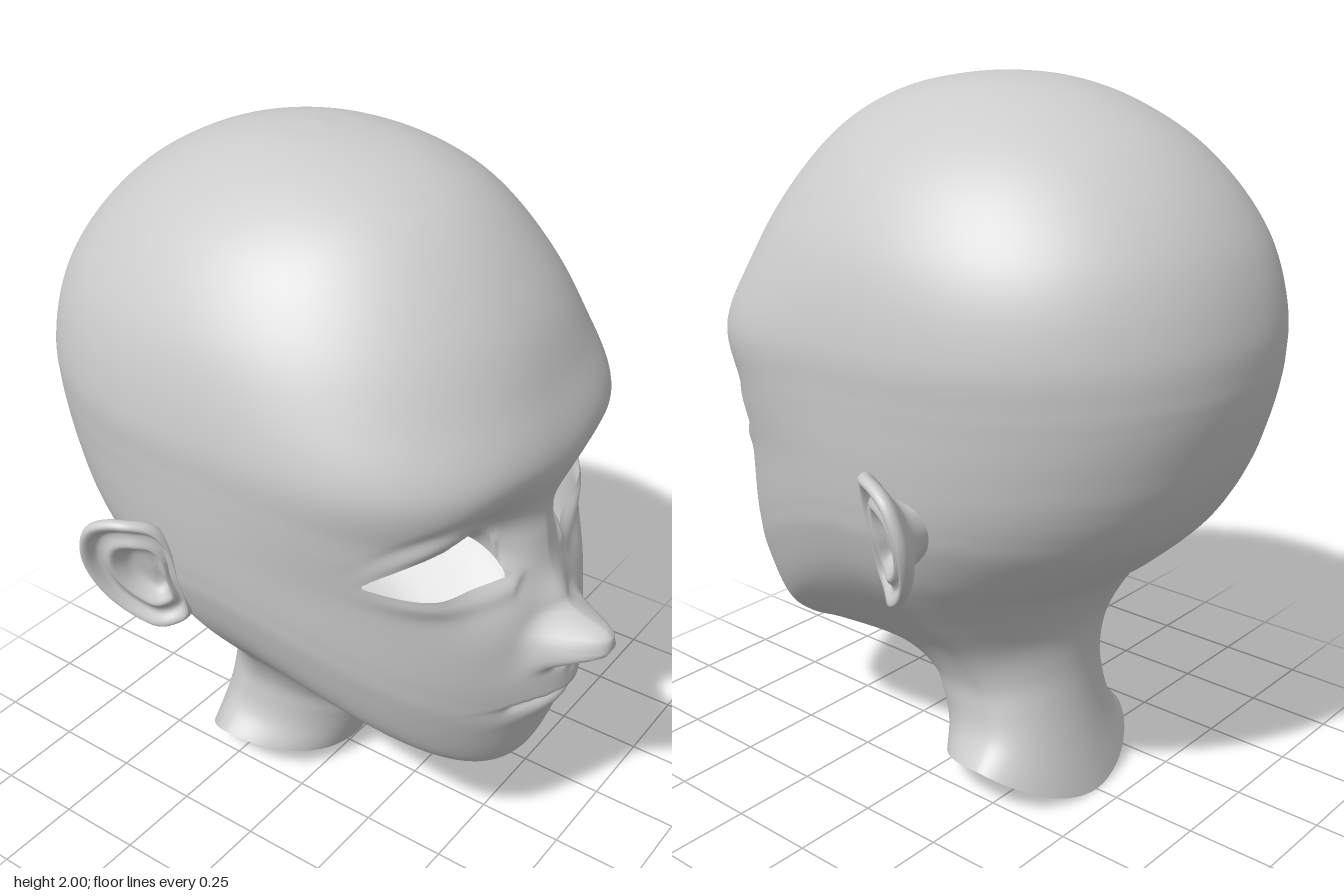
import * as THREE from 'three';

const material = new THREE.MeshStandardMaterial({ color: 0xcccccc, side: THREE.DoubleSide });
const { smoothstep, clamp } = THREE.MathUtils;
const bell = (d, s, power = 2) => Math.exp(-(Math.abs(d / s) ** power));

// Head rings from neck rim to crown: front z, y; side x, y at the widest point; back z, y
const rings = [
  [0.03, 0.05, 0.31, 0.125, -0.43, 0],
  [0.06, 0.12, 0.255, 0.19, -0.39, 0.175],
  [0.095, 0.2, 0.235, 0.26, -0.37, 0.3],
  [0.14, 0.27, 0.237, 0.34, -0.366, 0.4],
  [0.25, 0.315, 0.285, 0.44, -0.38, 0.5],
  [0.456, 0.3, 0.39, 0.56, -0.42, 0.59],
  [0.56, 0.287, 0.492, 0.68, -0.48, 0.675],
  [0.626, 0.32, 0.548, 0.77, -0.56, 0.74],
  [0.683, 0.467, 0.59, 0.88, -0.675, 0.85],
  [0.697, 0.56, 0.605, 0.95, -0.74, 0.945],
  [0.7, 0.65, 0.614, 1.01, -0.785, 1.04],
  [0.69, 0.76, 0.621, 1.07, -0.812, 1.12],
  [0.665, 0.9, 0.627, 1.13, -0.832, 1.19],
  [0.645, 1.03, 0.632, 1.2, -0.845, 1.25],
  [0.64, 1.13, 0.637, 1.27, -0.852, 1.31],
  [0.682, 1.3, 0.641, 1.38, -0.85, 1.41],
  [0.626, 1.475, 0.618, 1.52, -0.82, 1.535],
  [0.56, 1.63, 0.574, 1.64, -0.77, 1.645],
  [0.456, 1.775, 0.497, 1.76, -0.683, 1.76],
  [0.34, 1.882, 0.402, 1.855, -0.565, 1.862],
  [0.2, 1.952, 0.272, 1.938, -0.405, 1.945],
  [0.04, 1.988, 0.14, 1.985, -0.25, 1.987],
  [-0.1, 2, 0, 2, -0.1, 2],
];
const spline = (f) => new THREE.CatmullRomCurve3(rings.map((r) => new THREE.Vector3(...f(r))), false, 'catmullrom');
const frontLine = spline((r) => [0, r[1], r[0]]);
const sideLine = spline((r) => [r[2], r[3], -0.05 - 0.19 * (1 - smoothstep(r[3], 0.1, 0.75)) - 0.05 * smoothstep(r[3], 0.9, 1.6)]);
const backLine = spline((r) => [0, r[5], r[4]]);

// Signed measure of the almond eye opening: negative inside
function eye(x, y) {
  const ax = Math.abs(x), t = clamp((ax - 0.14) / 0.375, 0, 1);
  const chord = 0.965 + 0.095 * t;
  const upper = chord + 0.302 * Math.sqrt(t) * (1 - t) ** 0.7;
  const lower = chord - 0.15 * t * (1 - t);
  return Math.max(y - upper, lower - y) + Math.abs(ax - (0.14 + 0.375 * t));
}

// Relief of the face, pushed along z
function relief(x, y) {
  const ax = Math.abs(x), e = Math.max(eye(x, y), 0);
  const lid = 1 - smoothstep(ax, 0.42, 0.56);
  let d = 0;
  // eye sockets and lids
  d -= 0.11 * bell(ax - 0.225, 0.13) * bell(y - 1.055, 0.14);
  d += 0.012 * lid * bell(e - 0.025, 0.025);
  d -= 0.007 * lid * bell(e - 0.07, 0.02) * smoothstep(y, 1.0, 1.08);
  // nose: ridge, bulb, wings, nostrils
  d += 0.035 * bell(x, 0.06) * bell(y - 0.855, 0.06);
  d += 0.16 * bell(x, 0.1, 2.7) * bell(y - 0.772 + 0.17 * ax, 0.055, 3.6);
  d += 0.02 * bell(ax - 0.1, 0.035) * bell(y - 0.75, 0.04);
  d -= 0.03 * bell(ax - 0.052, 0.03) * bell(y - 0.708, 0.02);
  // lips
  const line = 0.575 + 0.2 * x * x, window = 1 - smoothstep(ax, 0.16, 0.215);
  d += 0.046 * bell(x, 0.15) * smoothstep(y, line, line + 0.018) * (1 - smoothstep(y, 0.66, 0.78));
  d -= 0.006 * bell(x, 0.022) * bell(y - 0.665, 0.035);
  d += 0.026 * bell(x, 0.14) * bell(y - 0.54, 0.032);
  d -= 0.012 * window * bell(y - line, 0.012);
  return d;
}

function headGeometry() {
  const cols = 220, rows = 225, pos = [], grid = [];
  for (let j = 0; j <= rows; j++) {
    const f = frontLine.getPoint(j / rows), m = sideLine.getPoint(j / rows), b = backLine.getPoint(j / rows);
    const frontSquare = 2 + 0.65 * bell(f.y - 1.22, 0.3); // squarer front at the brow
    const backSquare = 1.88 + 0.27 * smoothstep(b.y, 0.5, 1.1) - 0.15 * smoothstep(b.y, 1.5, 2);
    for (let i = 0; i < cols; i++) {
      const u = (2 * i) / cols - 1;
      const t = Math.PI * (u - 0.2 * Math.sin(Math.PI * u)); // denser towards the face
      const isFront = Math.cos(t) > 0, n = isFront ? frontSquare : backSquare, end = isFront ? f : b;
      const k = (Math.abs(Math.cos(t)) ** n + Math.abs(Math.sin(t)) ** n) ** (1 / n);
      const c = Math.abs(Math.cos(t)) / k;
      const x = (m.x * Math.sin(t)) / k;
      const y = m.y + (end.y - m.y) * c ** 1.7;
      let z = m.z + (end.z - m.z) * c;
      if (z > 0.2 && y > 0.4) z += relief(x, y) * smoothstep(z, 0.2, 0.36);
      pos.push(x, y, z);
    }
  }
  for (let j = 0; j < rows; j++) {
    for (let i = 0; i < cols; i++) {
      const a = j * cols + i, b = j * cols + ((i + 1) % cols);
      grid.push([a, b, b + cols], [a, b + cols, a + cols]);
    }
  }
  const whole = new THREE.BufferGeometry();
  whole.setAttribute('position', new THREE.Float32BufferAttribute(pos, 3));
  whole.setIndex(grid.flat());
  whole.computeVertexNormals();
  const nor = Array.from(whole.attributes.normal.array);

  // cut the eye openings out of the surface
  const level = (v) => (pos[3 * v + 2] > 0.1 ? eye(pos[3 * v], pos[3 * v + 1]) : 1);
  const between = (p, q, s) => {
    for (const list of [pos, nor]) {
      for (let c = 0; c < 3; c++) list.push(list[3 * p + c] * (1 - s) + list[3 * q + c] * s);
    }
    return pos.length / 3 - 1;
  };
  const index = [];
  for (const tri of grid) {
    const l = tri.map(level), poly = [];
    for (let c = 0; c < 3; c++) {
      const d = (c + 1) % 3;
      if (l[c] > 0) poly.push(tri[c]);
      if ((l[c] > 0) !== (l[d] > 0)) poly.push(between(tri[c], tri[d], l[c] / (l[c] - l[d])));
    }
    for (let c = 2; c < poly.length; c++) index.push(poly[0], poly[c - 1], poly[c]);
  }
  const geometry = new THREE.BufferGeometry();
  geometry.setAttribute('position', new THREE.Float32BufferAttribute(pos, 3));
  geometry.setAttribute('normal', new THREE.Float32BufferAttribute(nor, 3));
  geometry.setIndex(index);
  return geometry;
}

// Ear: outline scaled through a profile of bowl, inner fold, rolled rim and rear shell
function earGeometry() {
  const outline = new THREE.CatmullRomCurve3([
    [0.0, 0.19], [0.095, 0.155], [0.14, 0.045], [0.115, -0.08], [0.045, -0.165],
    [-0.04, -0.205], [-0.11, -0.17], [-0.115, -0.03], [-0.115, 0.09], [-0.08, 0.165],
  ].map(([a, b]) => new THREE.Vector3(a, b, 0)), true);
  const profile = new THREE.SplineCurve([
    [0.001, -0.04], [0.3, -0.038], [0.44, -0.014], [0.56, 0.004], [0.68, -0.006], [0.78, -0.006],
    [0.88, 0.014], [0.96, 0.018], [1, 0.004], [0.96, -0.014], [0.8, -0.034], [0.55, -0.06], [0.4, -0.12],
  ].map((p) => new THREE.Vector2(...p)));
  const back = new THREE.Vector3(0.36, 0, -0.93), up = new THREE.Vector3(0.24, 0.97, 0);
  const out = back.clone().cross(up).normalize();
  const cols = 64, rows = 48, pos = [], index = [];
  for (let j = 0; j <= rows; j++) {
    const p = profile.getPoint(j / rows);
    for (let i = 0; i < cols; i++) {
      const o = outline.getPoint(i / cols);
      const sink = 0.03 * p.x * (1 - smoothstep(o.x, -0.12, 0)); // front edge melts into the head
      const v = new THREE.Vector3(0.648, 0.925, -0.23)
        .addScaledVector(back, -0.03 + (o.x + 0.03) * p.x)
        .addScaledVector(up, -0.02 + (o.y + 0.02) * p.x)
        .addScaledVector(out, p.y - sink);
      pos.push(v.x, v.y, v.z);
      const a = j * cols + i, b = j * cols + ((i + 1) % cols);
      if (j < rows) index.push(a, b + cols, b, a, a + cols, b + cols);
    }
  }
  const geometry = new THREE.BufferGeometry();
  geometry.setAttribute('position', new THREE.Float32BufferAttribute(pos, 3));
  geometry.setIndex(index);
  geometry.computeVertexNormals();
  return geometry;
}

export function createModel() {
  const model = new THREE.Group();
  model.name = 'headBust';
  const head = new THREE.Mesh(headGeometry(), material);
  head.name = 'headAndNeck';
  model.add(head);
  const ear = earGeometry();
  for (const [name, side] of [['leftEar', 1], ['rightEar', -1]]) {
    const mesh = new THREE.Mesh(ear, material);
    mesh.name = name;
    mesh.scale.x = side;
    model.add(mesh);
  }
  return model;
}
